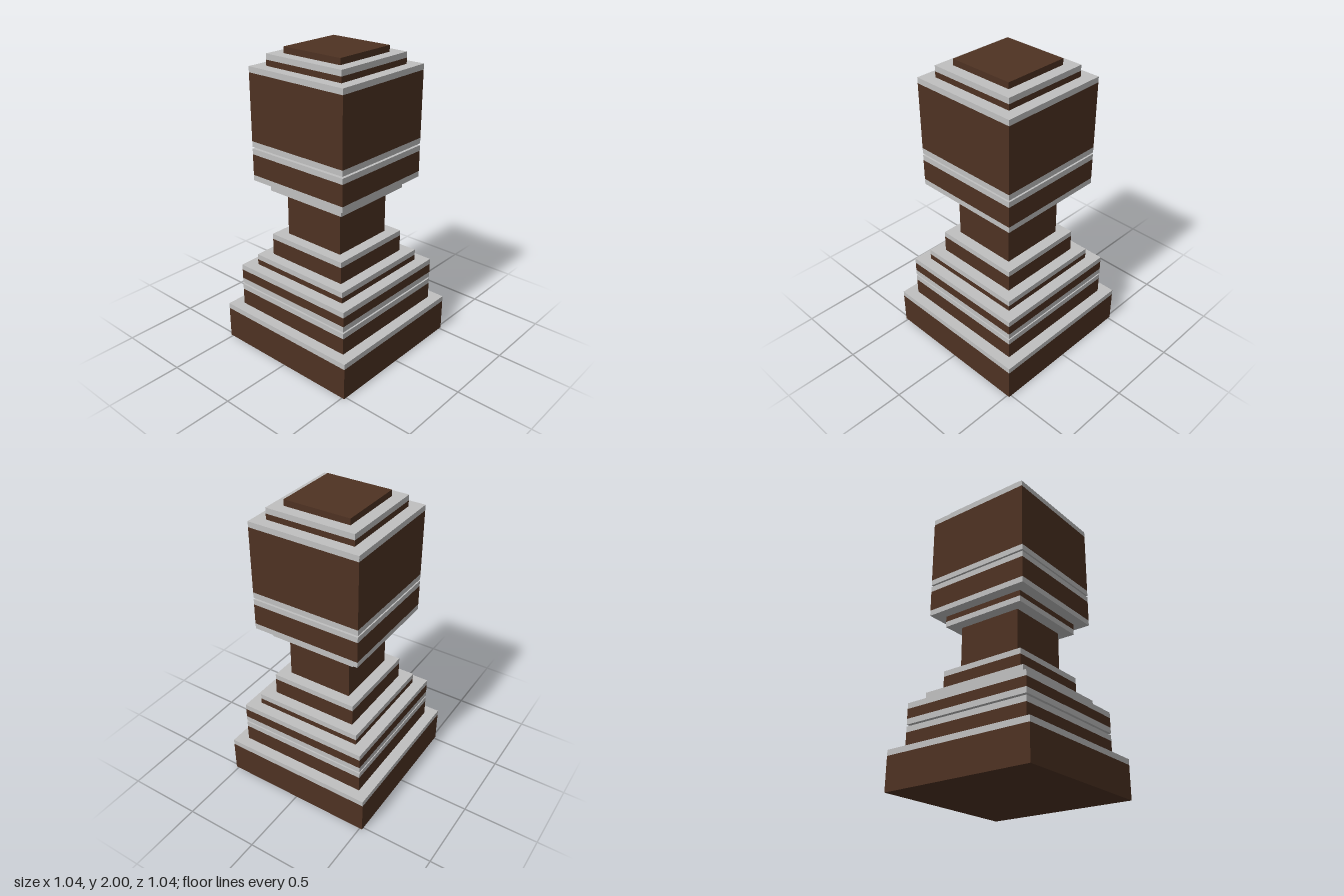
import * as THREE from 'three';

export function createModel() {
  const wood = new THREE.MeshStandardMaterial({ name: 'darkWood', color: 0x4e3222 });
  const silver = new THREE.MeshStandardMaterial({ name: 'silverTrim', color: 0xc0c0c0 });

  const model = new THREE.Group();
  model.name = 'steppedPedestal';

  // Half widths of the square steps
  const XS = 0.222, S = 0.296, M = 0.37, L = 0.445, XL = 0.518;

  // Stacked slabs from the ground up: name, half width, top height, material
  const layers = [
    ['plinth', XL, 0.217, wood],
    ['plinthTrim', XL, 0.254, silver],
    ['lowerStep', L, 0.365, wood],
    ['lowerStepTrim', L, 0.402, silver],
    ['lowerGroove', M, 0.414, wood],
    ['middleStepBottomTrim', L, 0.451, silver],
    ['middleStep', L, 0.514, wood],
    ['middleStepTopTrim', L, 0.551, silver],
    ['upperStep', M, 0.588, wood],
    ['upperStepTrim', M, 0.625, silver],
    ['columnFoot', S, 0.736, wood],
    ['columnFootTrim', S, 0.773, silver],
    ['column', XS, 1.081, wood],
    ['collarTrim', S, 1.118, silver],
    ['collar', S, 1.155, wood],
    ['capitalBottomTrim', M, 1.192, silver],
    ['capital', M, 1.33, wood],
    ['capitalTopTrim', M, 1.367, silver],
    ['upperGroove', S, 1.379, wood],
    ['headBottomTrim', M, 1.416, silver],
    ['head', M, 1.849, wood],
    ['headTopTrim', M, 1.886, silver],
    ['crownStep', S, 1.923, wood],
    ['crownStepTrim', S, 1.96, silver],
    ['crownCap', XS, 2, wood],
  ];

  let bottom = 0;
  for (const [name, half, top, material] of layers) {
    const slab = new THREE.Mesh(new THREE.BoxGeometry(2 * half, top - bottom, 2 * half), material);
    slab.name = name;
    slab.position.y = (bottom + top) / 2;
    model.add(slab);
    bottom = top;
  }
  return model;
}
